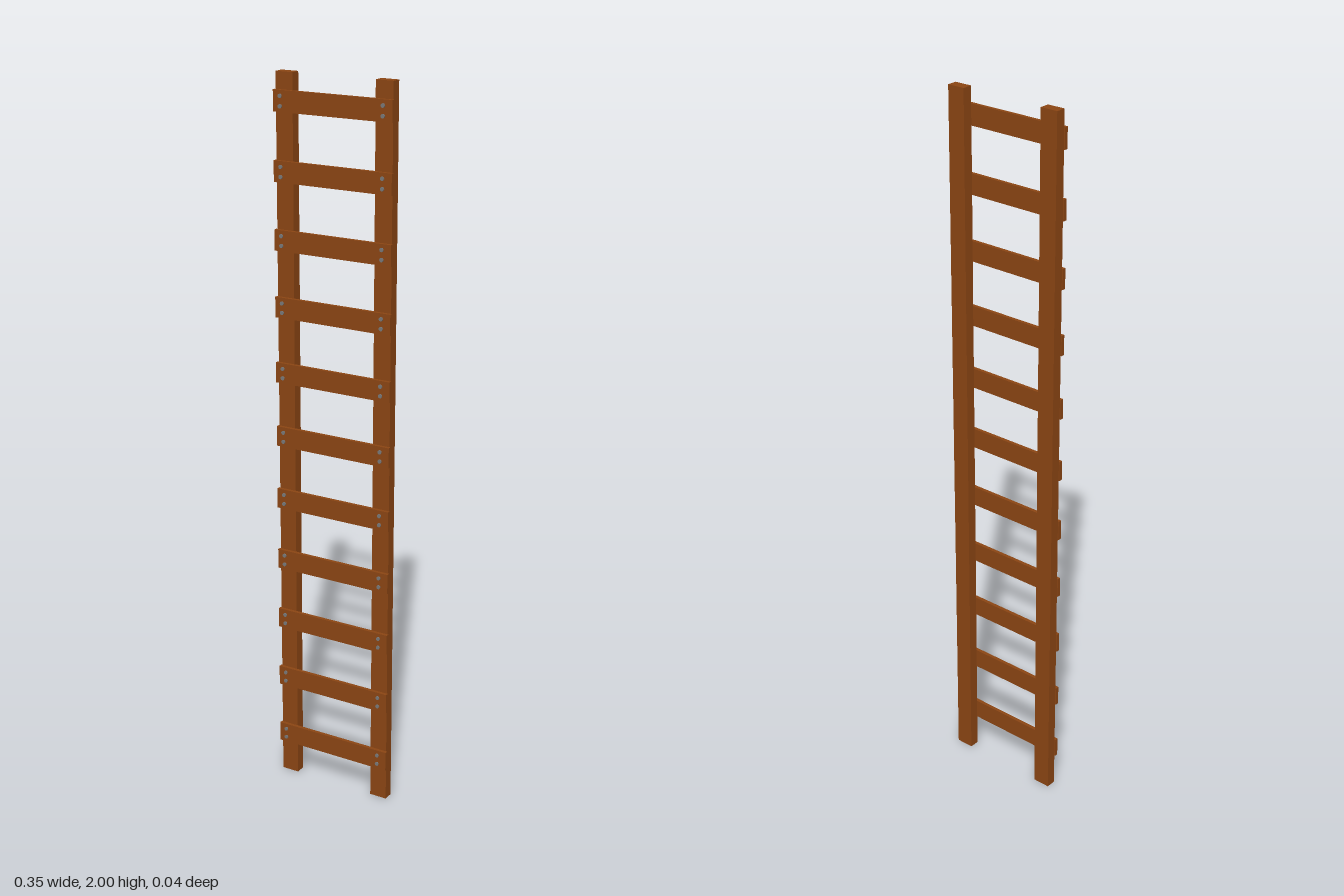
import * as THREE from 'three';

export function createModel() {
  const ladder = new THREE.Group();
  ladder.name = 'ladder';
  const wood = new THREE.MeshStandardMaterial({ color: 0x8b4513 });
  const metal = new THREE.MeshStandardMaterial({ color: 0x777777 });

  function add(parent, name, geometry, material, x, y, z) {
    const mesh = new THREE.Mesh(geometry, material);
    mesh.name = name;
    mesh.position.set(x, y, z);
    parent.add(mesh);
    return mesh;
  }

  // Two upright rails
  const railGeometry = new THREE.BoxGeometry(0.05, 2, 0.028);
  add(ladder, 'leftRail', railGeometry, wood, 0.1455, 1, -0.007);
  add(ladder, 'rightRail', railGeometry, wood, -0.1455, 1, -0.007);

  // Flat rungs fixed to the front of the rails, two nails at each end
  const rungGeometry = new THREE.BoxGeometry(0.347, 0.056, 0.01);
  const nailGeometry = new THREE.CylinderGeometry(0.0055, 0.0055, 0.008, 12).rotateX(Math.PI / 2);
  const rungCount = 11;
  for (let i = 0; i < rungCount; i++) {
    const rung = new THREE.Group();
    rung.name = `rung${i + 1}`;
    rung.position.y = 0.123 + i * 0.1804;
    add(rung, 'rungBoard', rungGeometry, wood, 0, 0, 0.0115);
    for (const x of [-0.152, 0.147]) {
      for (const y of [-0.013, 0.013]) add(rung, 'nailHead', nailGeometry, metal, x, y, 0.016);
    }
    ladder.add(rung);
  }
  return ladder;
}
